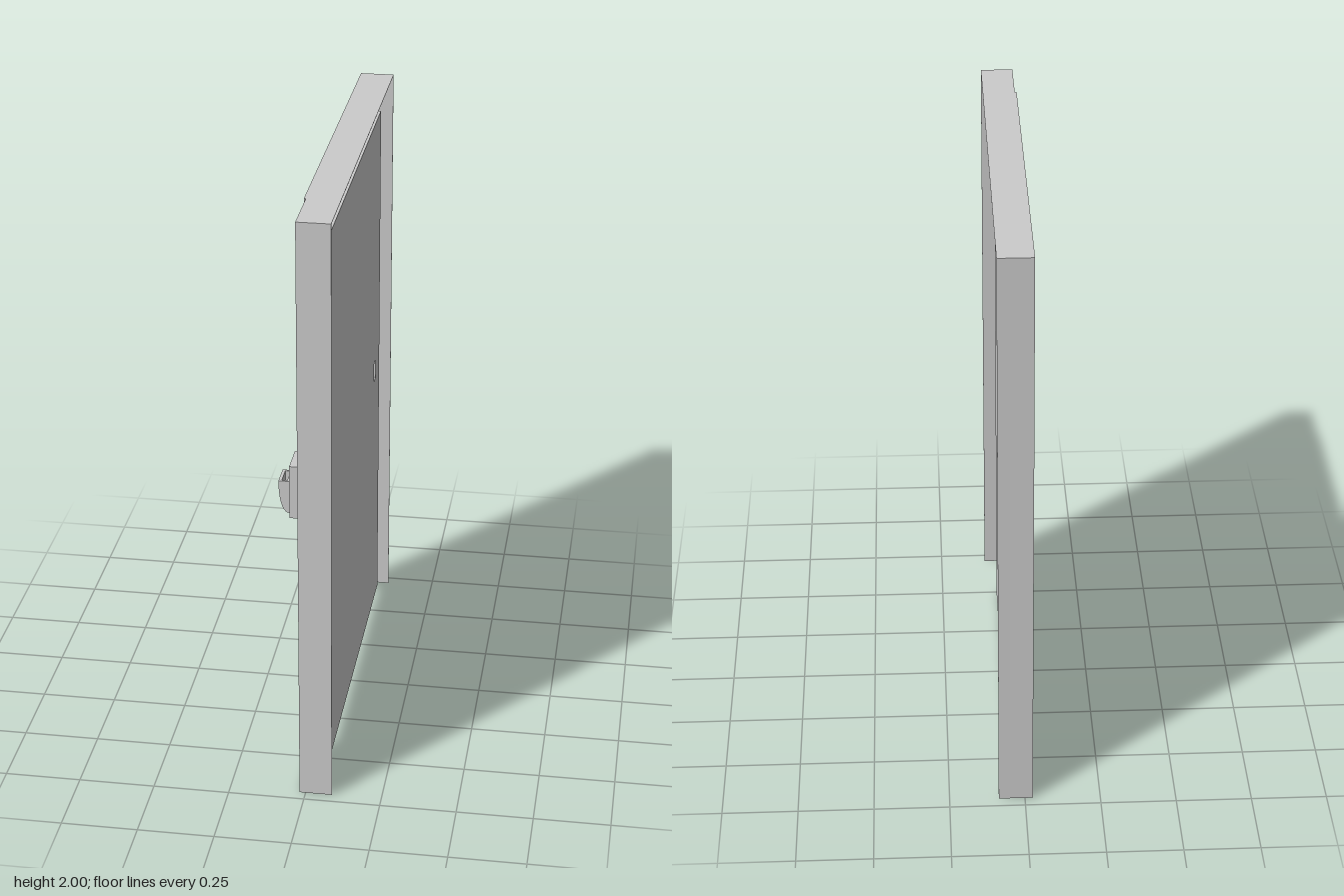
import * as THREE from 'three';

const mat = new THREE.MeshStandardMaterial({ color: 0xcccccc, side: THREE.DoubleSide });
const flat = new THREE.MeshStandardMaterial({ color: 0xcccccc, side: THREE.DoubleSide, flatShading: true });

// main planes and opening limits
const X_FACE = -0.026, X_SIDE = -0.02, X_PANEL = 0.05, X_BACK = 0.087;
const Z0 = -0.713, Z1 = 0.713, Z_STEP = 0.517;
const OPEN0 = -0.67, OPEN1 = 0.485, OPEN_TOP = 1.88, SILL = 0.01;

function add(parent, name, geometry, material = flat) {
  const mesh = new THREE.Mesh(geometry, material);
  mesh.name = name;
  parent.add(mesh);
  return mesh;
}

// box given by its limits; an open back leaves out the +x face
function box(parent, name, x0, x1, y0, y1, z0, z1, openBack = false) {
  const g = new THREE.BoxGeometry(x1 - x0, y1 - y0, z1 - z0);
  if (openBack) {
    g.setIndex(Array.from(g.index.array).slice(6));
    g.clearGroups();
  }
  g.translate((x0 + x1) / 2, (y0 + y1) / 2, (z0 + z1) / 2);
  return add(parent, name, g);
}

const poly = pts => new THREE.Shape(pts.map(p => new THREE.Vector2(p[0], p[1])));
const rect = (a, b, c, d) => poly([[a, c], [b, c], [b, d], [a, d]]);

// sheet drawn in (z, y), facing -x
function sheet(parent, name, shape, x) {
  const g = new THREE.ShapeGeometry(shape);
  g.rotateY(-Math.PI / 2).translate(x, 0, 0);
  return add(parent, name, g);
}

// side profile drawn in (x, y), extruded along z about zc
function profile(parent, name, shape, zc, width) {
  const g = new THREE.ExtrudeGeometry(shape, { depth: width, bevelEnabled: false, curveSegments: 8 });
  g.translate(0, 0, zc - width / 2);
  return add(parent, name, g);
}

function buildFrame(root) {
  const frame = new THREE.Group();
  frame.name = 'frame';
  root.add(frame);
  const t = 0.002;
  // pressed face with the doorway cut out
  sheet(frame, 'frameFace', poly([
    [Z0, 0], [OPEN0, 0], [OPEN0, OPEN_TOP], [OPEN1, OPEN_TOP],
    [OPEN1, 0], [Z_STEP, 0], [Z_STEP, 2], [Z0, 2]]), X_FACE);
  // side panel with a cut-out behind the lock
  const side = rect(Z_STEP, Z1, 0, 2);
  side.holes.push(rect(0.557, 0.663, 0.992, 1.168));
  sheet(frame, 'sidePanel', side, X_SIDE);
  box(frame, 'panelStep', X_FACE, X_SIDE, 0, 2, Z_STEP - t, Z_STEP);
  // outer flanges
  box(frame, 'backFlange', X_FACE, X_BACK, 0, 2, Z0, Z0 + t);
  box(frame, 'frontFlange', X_SIDE, X_BACK, 0, 2, Z1 - t, Z1);
  box(frame, 'topFlange', X_FACE, X_BACK, 2 - t, 2, Z0, Z_STEP);
  box(frame, 'topSideFlange', X_SIDE, X_BACK, 2 - t, 2, Z_STEP, Z1);
  // doorway reveals
  box(frame, 'backReveal', X_FACE, X_PANEL, SILL, OPEN_TOP, OPEN0 - t, OPEN0);
  box(frame, 'frontReveal', X_FACE, X_PANEL, SILL, OPEN_TOP, OPEN1, OPEN1 + t);
  box(frame, 'topReveal', X_FACE, X_PANEL, OPEN_TOP, OPEN_TOP + t, OPEN0, OPEN1);
}

function buildDoor(root) {
  const door = new THREE.Group();
  door.name = 'door';
  root.add(door);
  const ends = [-0.555, 0.37];
  const leaf = rect(OPEN0, OPEN1, SILL, OPEN_TOP);
  leaf.holes.push(rect(ends[0] - 0.022, ends[0] + 0.022, 0.915, 0.995));
  sheet(door, 'doorLeaf', leaf, X_PANEL);

  // round window trim: half-round section swept around the door's axis
  const section = [];
  for (let i = 0; i <= 10; i++) {
    const a = Math.PI * i / 10;
    section.push(new THREE.Vector2(0.187 + 0.024 * Math.cos(a), 0.024 * Math.sin(a)));
  }
  const ring = add(door, 'windowRing', new THREE.LatheGeometry(section, 48), mat);
  ring.rotation.z = Math.PI / 2;
  ring.position.set(X_PANEL, 1.41, -0.08);

  // push bar with an arched mount at each end
  for (const z of ends) {
    const arch = new THREE.Shape();
    arch.moveTo(z - 0.03, 0.905);
    arch.lineTo(z + 0.03, 0.905);
    arch.lineTo(z + 0.03, 0.975);
    arch.absarc(z, 0.975, 0.03, 0, Math.PI, false);
    arch.closePath();
    arch.holes.push(rect(z - 0.022, z + 0.022, 0.915, 0.985));
    const g = new THREE.ExtrudeGeometry(arch, { depth: 0.02, bevelEnabled: false, curveSegments: 10 });
    g.rotateY(-Math.PI / 2).translate(X_PANEL, 0, 0);
    add(door, 'barMount', g);

    const arm = new THREE.Shape();
    arm.moveTo(0.036, 0.908);
    arm.lineTo(0.036, 0.995);
    arm.lineTo(0.024, 0.995);
    arm.quadraticCurveTo(0.008, 0.985, -0.006, 0.938);
    arm.lineTo(-0.01, 0.914);
    arm.closePath();
    profile(door, 'barArm', arm, z, 0.046);
    const cap = add(door, 'barEnd', new THREE.SphereGeometry(0.016, 16, 12), mat);
    cap.position.set(-0.009, 0.926, z);
  }
  const bar = add(door, 'pushBar', new THREE.CylinderGeometry(0.013, 0.013, ends[1] - ends[0] + 0.05, 16), mat);
  bar.rotation.x = Math.PI / 2;
  bar.position.set(-0.009, 0.926, (ends[0] + ends[1]) / 2);
}

function buildLock(root) {
  const lock = new THREE.Group();
  lock.name = 'lock';
  root.add(lock);
  const zc = 0.61;
  box(lock, 'lockCase', -0.053, X_SIDE, 0.99, 1.17, 0.555, 0.665, true);
  // curved pull: solid cheeks either side of a middle with an open pocket
  const pull = pocket => {
    const s = new THREE.Shape();
    s.moveTo(-0.053, 1.0);
    s.lineTo(-0.053, 1.11);
    if (pocket) {
      s.lineTo(-0.063, 1.11);
      s.lineTo(-0.063, 1.06);
      s.lineTo(-0.08, 1.06);
      s.lineTo(-0.08, 1.11);
    }
    s.lineTo(-0.09, 1.11);
    s.bezierCurveTo(-0.09, 1.05, -0.08, 1.01, -0.062, 1.0);
    s.closePath();
    return s;
  };
  for (const k of [-1, 1]) profile(lock, 'pullCheek', pull(false), zc + k * 0.036, 0.007);
  profile(lock, 'pullBody', pull(true), zc, 0.065);
}

export function createModel() {
  const root = new THREE.Group();
  root.name = 'securityDoor';
  buildFrame(root);
  buildDoor(root);
  buildLock(root);
  return root;
}
